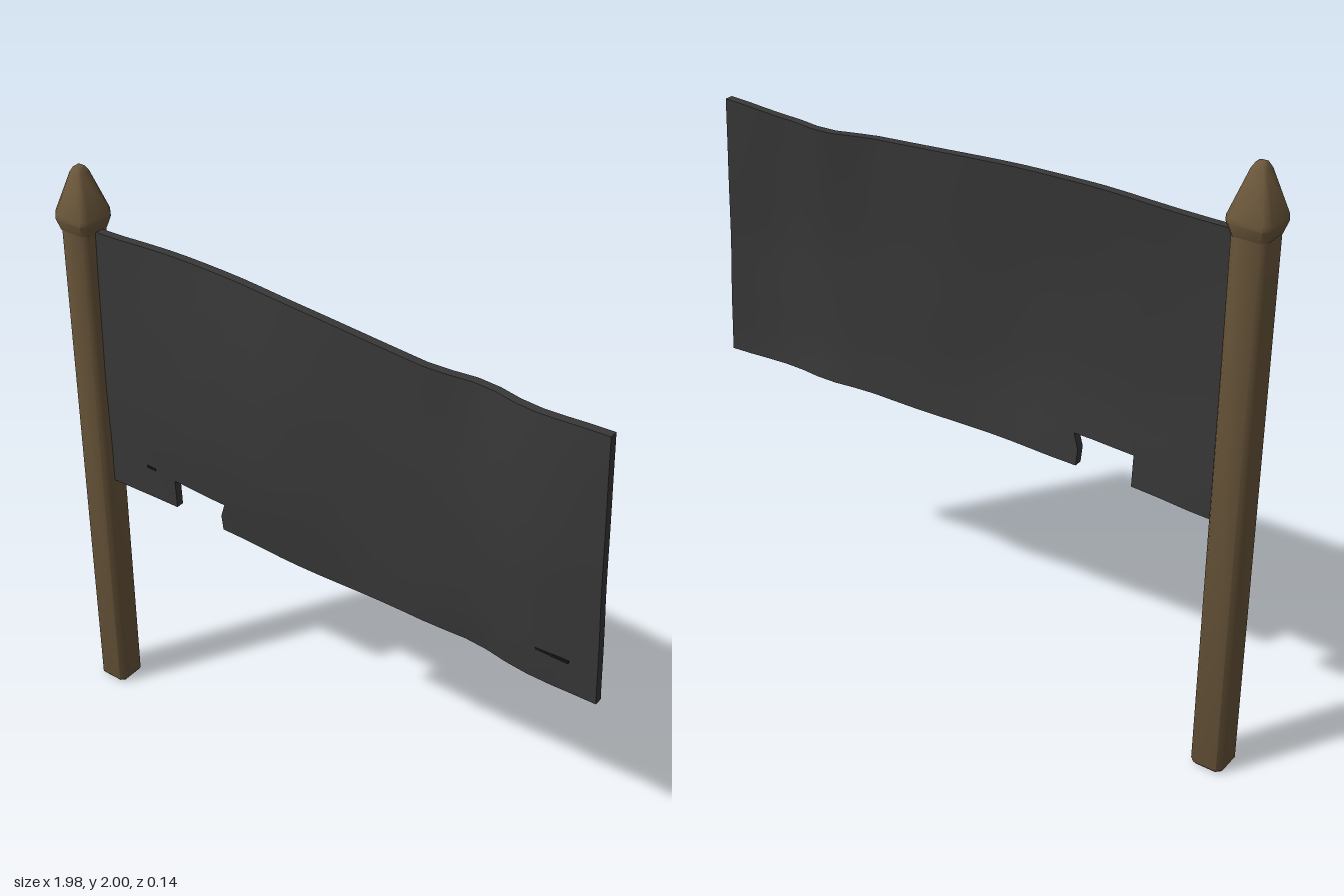
import * as THREE from 'three';
import { toCreasedNormals } from 'three/addons/utils/BufferGeometryUtils.js';

// Smooth interpolation through [x, value] points
function sample(points, x) {
  if (x <= points[0][0]) return points[0][1];
  for (let i = 1; i < points.length; i++) {
    const [x0, a] = points[i - 1], [x1, b] = points[i];
    if (x <= x1) {
      const t = (x - x0) / (x1 - x0);
      return a + (b - a) * t * t * (3 - 2 * t);
    }
  }
  return points[points.length - 1][1];
}

// Square column with chamfered edges; profile lists [half width, y] upwards
function squareLathe(profile) {
  const geo = new THREE.LatheGeometry(profile.map(p => new THREE.Vector2(...p)), 8);
  const c = 0.72;
  const ring = [[c, 1], [1, c], [1, -c], [c, -1], [-c, -1], [-1, -c], [-1, c], [-c, 1]];
  const pos = geo.attributes.position;
  for (let s = 0; s <= 8; s++) {
    const [px, pz] = ring[s % 8];
    profile.forEach(([r, y], j) => pos.setXYZ(s * profile.length + j, px * r, y, pz * r));
  }
  return toCreasedNormals(geo, 0.87);
}

// Cloth shape: outline heights, and depth along the top edge and the belly
const topY = [[-0.88, 1.797], [-0.45, 1.81], [0.7, 1.755], [0.95, 1.767]];
const bottomY = [[-0.88, 0.876], [-0.58, 0.887], [0.3, 0.884], [0.985, 0.864]];
const topZ = [[-0.88, -0.004], [-0.62, -0.011], [-0.38, -0.006], [-0.1, 0.002], [0.35, 0.002],
  [0.53, -0.026], [0.7, -0.003], [0.99, -0.002]];
const bellyZ = [[-0.88, 0.002], [-0.6, 0.016], [-0.4, 0.029], [-0.18, 0.037], [0.2, 0.014],
  [0.52, 0.01], [0.74, 0.026], [0.98, 0]];
const HALF = 0.014;

function clothPoint(x, v, side) {
  const yb = sample(bottomY, x), yt = sample(topY, x);
  const y = yb + (yt - yb) * v;
  const belly = Math.sin(Math.PI * Math.min(1, 0.15 + v * 0.85));
  const wrinkle = 0.004 * Math.sin(7 * x + 9 * v) * Math.sin(5 * v - 4 * x) * (1 - v);
  const z = THREE.MathUtils.lerp(sample(topZ, x), sample(bellyZ, x), belly) + wrinkle;
  const skew = ((x + 0.88) / 1.82) * 0.047 * (1 - v);
  return [x + skew, y, z + side * HALF];
}

// Thick sheet on a grid, with walls wherever a cell has no neighbour
function clothGeometry() {
  const xs = [-0.88, -0.78, -0.68, -0.593, -0.52, -0.45, -0.385];
  for (let i = 1; i <= 18; i++) xs.push(-0.385 + (1.325 * i) / 18);
  const vs = [0, 0.06, 0.115];
  for (let i = 1; i <= 10; i++) vs.push(0.115 + (0.885 * i) / 10);
  const cols = xs.length - 1, rows = vs.length - 1;
  const filled = (i, j) => i >= 0 && j >= 0 && i < cols && j < rows && !(i >= 3 && i < 6 && j < 2);
  const verts = [];
  const point = (i, j, s) => {
    const p = clothPoint(xs[i], vs[j], s);
    if (i === 6 && j < 2) p[0] += j === 0 ? -0.015 : -0.018; // frayed tear edge
    return p;
  };
  const quad = (a, b, c, d) => verts.push(...a, ...b, ...c, ...a, ...c, ...d);
  for (let i = 0; i < cols; i++) {
    for (let j = 0; j < rows; j++) {
      if (!filled(i, j)) continue;
      const corner = [[i, j], [i + 1, j], [i + 1, j + 1], [i, j + 1]];
      const f = corner.map(([a, b]) => point(a, b, 1));
      const k = corner.map(([a, b]) => point(a, b, -1));
      quad(f[0], f[1], f[2], f[3]);
      quad(k[1], k[0], k[3], k[2]);
      [[0, -1], [1, 0], [0, 1], [-1, 0]].forEach(([di, dj], e) => {
        const n = (e + 1) % 4;
        if (!filled(i + di, j + dj)) quad(k[e], k[n], f[n], f[e]);
      });
    }
  }
  const geo = new THREE.BufferGeometry();
  geo.setAttribute('position', new THREE.Float32BufferAttribute(verts, 3));
  return toCreasedNormals(geo, 0.8);
}

export function createModel() {
  const group = new THREE.Group();
  const wood = new THREE.MeshStandardMaterial({ color: 0x6b573b });
  wood.name = 'brown wood';
  const fabric = new THREE.MeshStandardMaterial({ color: 0x383838 });
  fabric.name = 'charcoal cloth';
  const shade = new THREE.MeshStandardMaterial({ color: 0x181818 });
  shade.name = 'dark slit';

  const add = (name, geo, mat) => {
    const mesh = new THREE.Mesh(geo, mat);
    mesh.name = name;
    group.add(mesh);
    return mesh;
  };

  // Pole and spear-shaped finial
  add('pole', squareLathe([[0, 0], [0.046, 0], [0.055, 0.012], [0.055, 1.8], [0, 1.8]]), wood)
    .position.x = -0.92;
  add('finial', squareLathe([[0, 1.795], [0.057, 1.795], [0.069, 1.833], [0.068, 1.85],
    [0.024, 1.98], [0.014, 1.997], [0, 2]]), wood).position.x = -0.92;

  // Waving banner
  add('banner', clothGeometry(), fabric);

  // Small worn slits above the hem
  for (const [x, width] of [[-0.69, 0.035], [0.8, 0.11]]) {
    const [px, py, pz] = clothPoint(x, 0.13, 1);
    add('hemSlit', new THREE.BoxGeometry(width, 0.008, 0.006), shade).position.set(px, py, pz);
  }
  return group;
}
